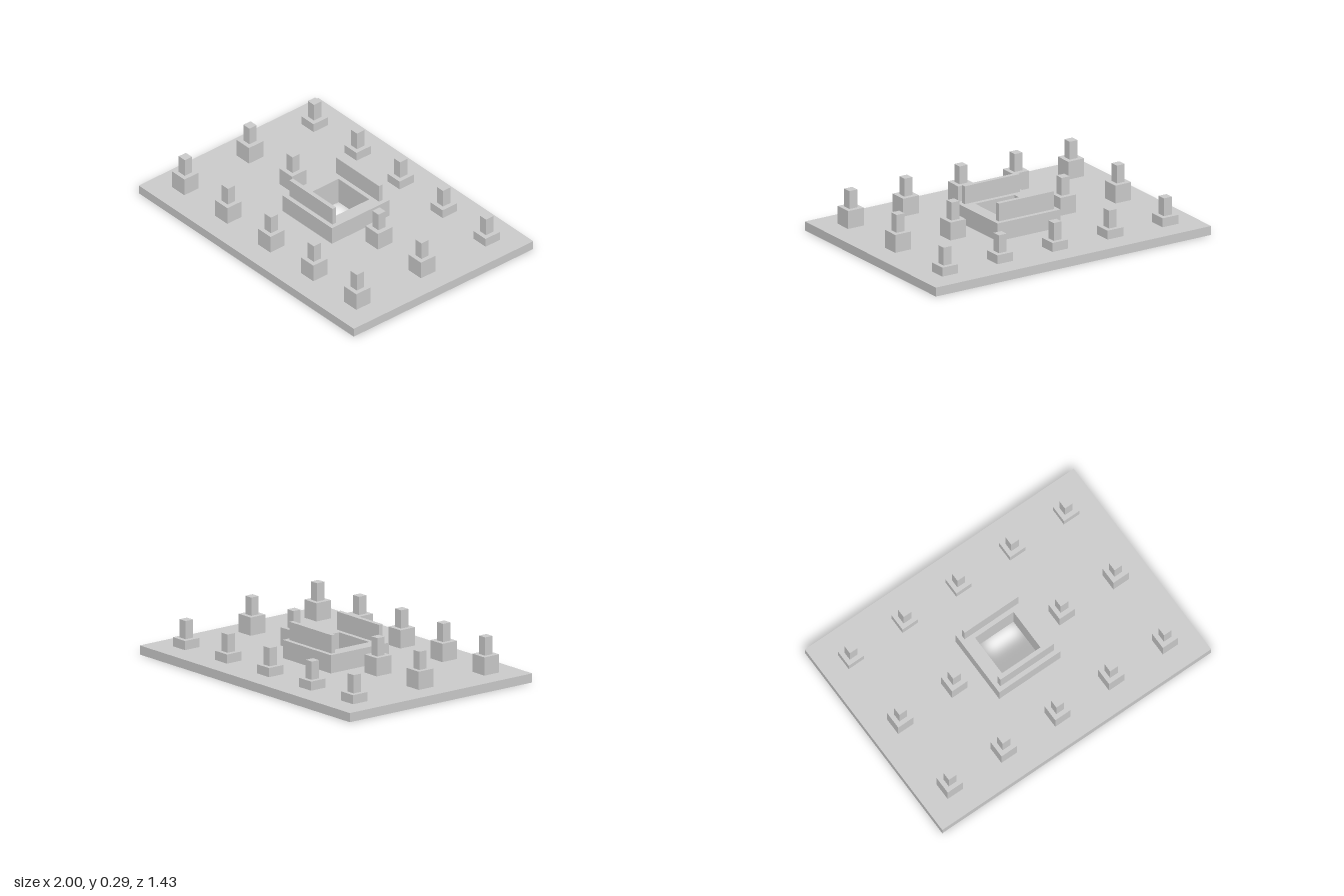
import * as THREE from 'three';

const U = 1 / 35; // modular unit
const material = new THREE.MeshStandardMaterial({ color: 0xcccccc, flatShading: true });

function box(name, w, h, d, x, y, z) {
  const mesh = new THREE.Mesh(new THREE.BoxGeometry(w, h, d), material);
  mesh.name = name;
  mesh.position.set(x, y + h / 2, z);
  return mesh;
}

// Rectangular slab with a square hole, standing on height y
function slabWithHole(name, w, h, d, hole, y) {
  const shape = new THREE.Shape();
  shape.moveTo(-w / 2, -d / 2).lineTo(w / 2, -d / 2).lineTo(w / 2, d / 2).lineTo(-w / 2, d / 2).closePath();
  const r = hole / 2;
  const opening = new THREE.Path();
  opening.moveTo(-r, -r).lineTo(-r, r).lineTo(r, r).lineTo(r, -r).closePath();
  shape.holes.push(opening);
  const geometry = new THREE.ExtrudeGeometry(shape, { depth: h, bevelEnabled: false });
  geometry.rotateX(-Math.PI / 2);
  const mesh = new THREE.Mesh(geometry, material);
  mesh.name = name;
  mesh.position.y = y;
  return mesh;
}

// Square pedestal carrying a narrower post
function pillar(x, z, baseHeight) {
  const group = new THREE.Group();
  group.name = 'pillar';
  group.add(box('pillarBase', 4 * U, baseHeight, 4 * U, 0, 0, 0));
  group.add(box('pillarPost', 2 * U, 4 * U, 2 * U, 0, baseHeight, 0));
  group.position.set(x, 2 * U, z);
  return group;
}

export function createModel() {
  const model = new THREE.Group();
  model.name = 'pillaredPlatform';

  // Ground plate and the raised frame around its opening
  model.add(slabWithHole('plate', 70 * U, 2 * U, 50 * U, 10 * U, 0));
  model.add(slabWithHole('centreFrame', 16 * U, 4 * U, 16 * U, 10 * U, 2 * U));

  // Upright walls along the front and back of the frame
  for (const side of [-1, 1]) {
    model.add(box('frameWall', 14 * U, 4 * U, U, 0, 6 * U, side * 6.5 * U));
  }

  // Three rows of pillars; the back row stands on lower bases
  for (const row of [-1, 0, 1]) {
    for (let col = -2; col <= 2; col++) {
      if (row === 0 && col === 0) continue;
      model.add(pillar(col * 14 * U, row * 18 * U, (row < 0 ? 2 : 4) * U));
    }
  }
  return model;
}
